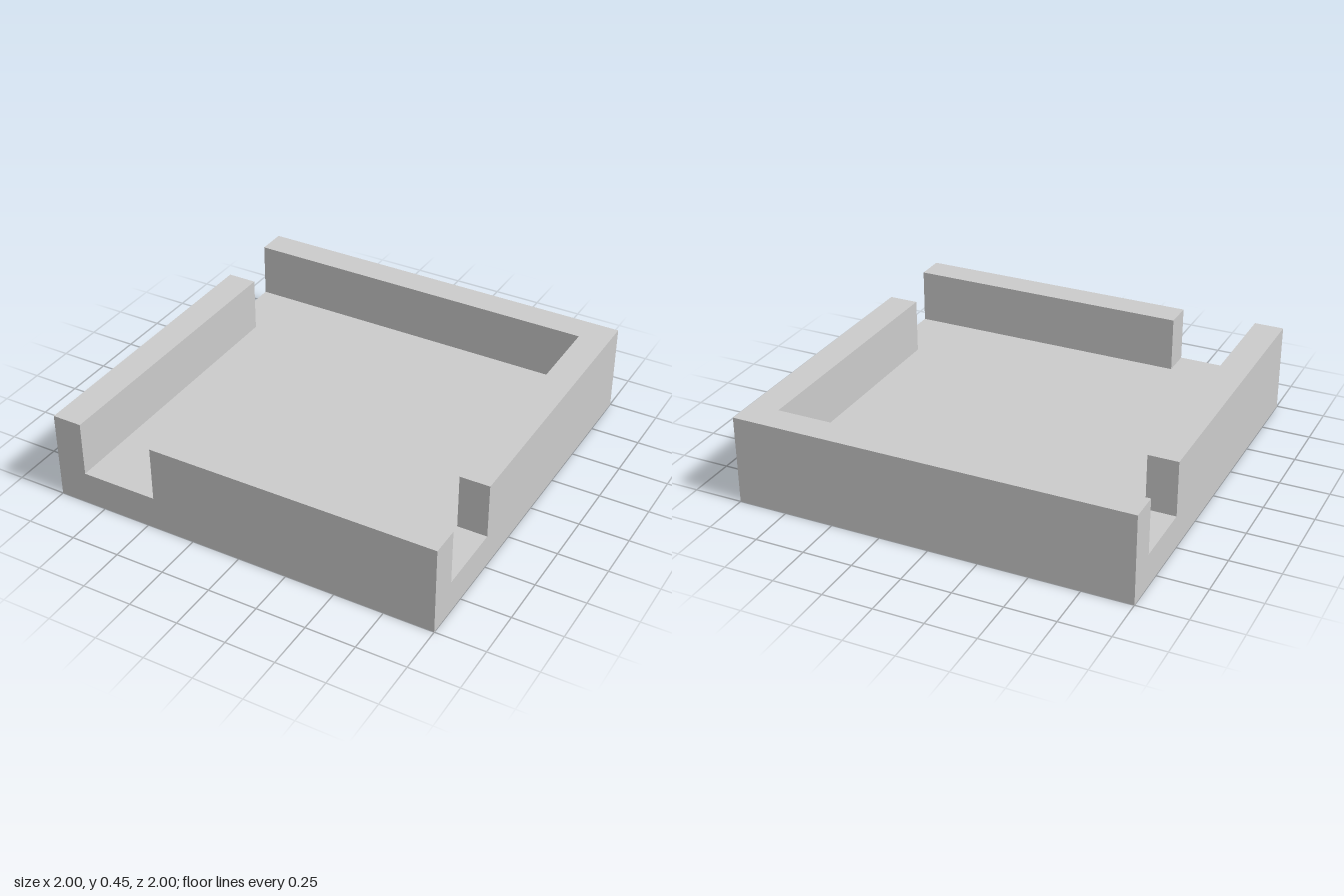
import * as THREE from 'three';

const BASE = 0.17, TOP = 0.45, INNER = 0.85;

export function createModel() {
  const group = new THREE.Group();
  const material = new THREE.MeshStandardMaterial({ color: 0xcccccc, flatShading: true });

  // Extrudes a floor-plan outline of [x, z] corners from y0 up to y1
  const addSlab = (name, plan, y0, y1) => {
    const shape = new THREE.Shape(plan.map(([x, z]) => new THREE.Vector2(x, -z)));
    const geometry = new THREE.ExtrudeGeometry(shape, { depth: y1 - y0, bevelEnabled: false });
    geometry.rotateX(-Math.PI / 2).translate(0, y0, 0);
    const mesh = new THREE.Mesh(geometry, material);
    mesh.name = name;
    group.add(mesh);
  };

  // Square tray floor
  addSlab('floor', [[-1, 1], [1, 1], [1, -1], [-1, -1]], 0, BASE);

  // L-shaped wall along the back and the +x side
  addSlab('backAndLeftWall',
    [[-1, -1], [1, -1], [1, 0.49], [INNER, 0.49], [INNER, -INNER], [-1, -INNER]], BASE, TOP);

  // Straight walls, leaving open notches next to the corners
  addSlab('frontWall', [[-0.46, INNER], [1, INNER], [1, 1], [-0.46, 1]], BASE, TOP);
  addSlab('rightWall', [[-1, -0.51], [-INNER, -0.51], [-INNER, 1], [-1, 1]], BASE, TOP);

  return group;
}
